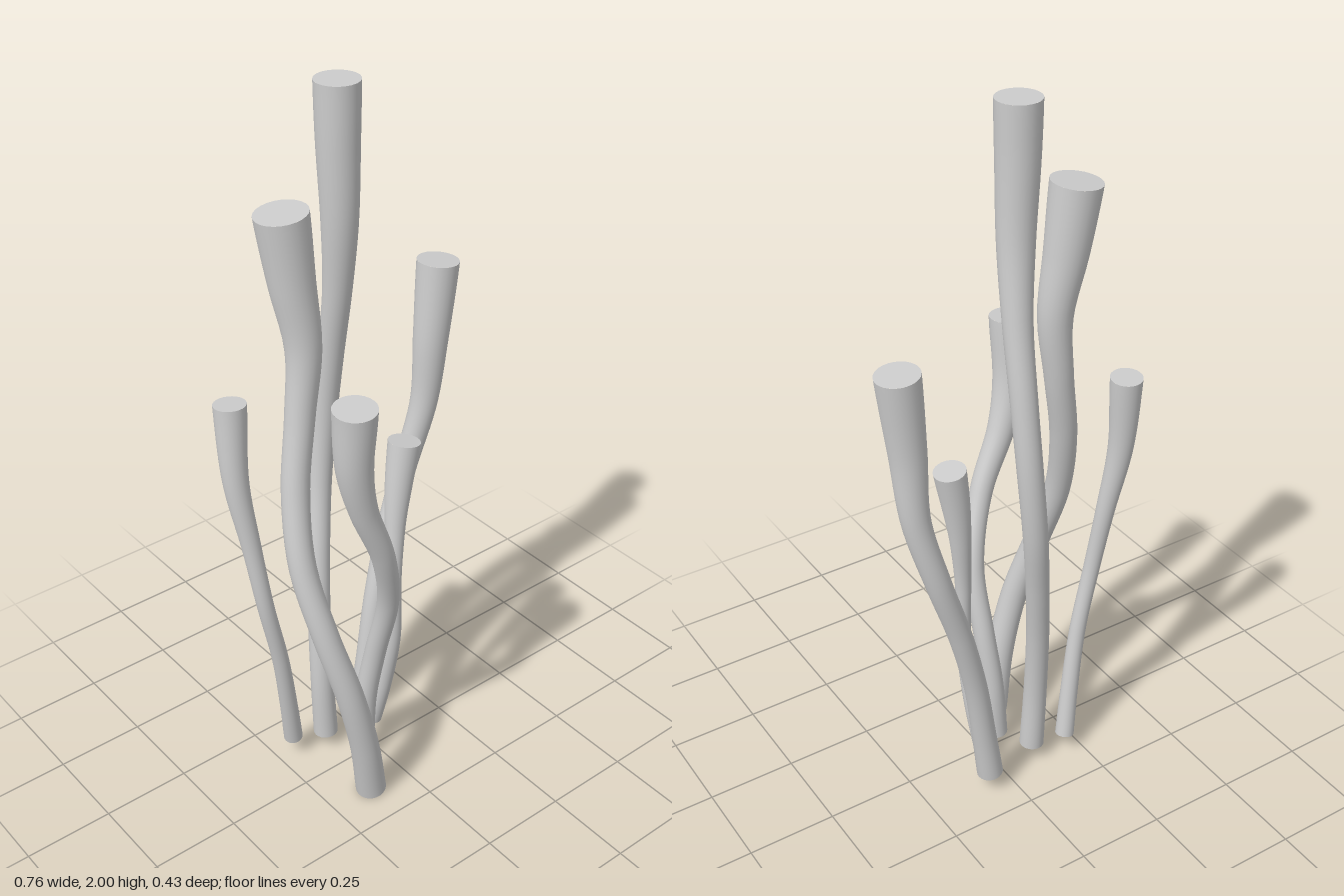
import * as THREE from 'three';

const SIDES = 24, STEPS = 48;
const material = new THREE.MeshStandardMaterial({ color: 0xcccccc });

// Each stalk runs from foot to tip: [x, y, z, radius]
const stalks = {
  tallStalk: [
    [-0.105, 0.05, -0.095, 0.035], [-0.11, 0.25, -0.1, 0.033], [-0.1, 0.45, -0.12, 0.032],
    [-0.075, 0.65, -0.15, 0.032], [-0.045, 0.85, -0.178, 0.033], [-0.025, 1.05, -0.178, 0.034],
    [-0.018, 1.25, -0.155, 0.035], [-0.02, 1.45, -0.12, 0.038], [-0.029, 1.65, -0.095, 0.047],
    [-0.035, 1.85, -0.09, 0.054], [-0.035, 2.0, -0.09, 0.057]],
  thickStalk: [
    [-0.12, 0.008, 0.133, 0.043], [-0.155, 0.2, 0.148, 0.04], [-0.2, 0.4, 0.142, 0.038],
    [-0.245, 0.6, 0.1, 0.036], [-0.268, 0.8, 0.04, 0.036], [-0.25, 1.0, -0.005, 0.037],
    [-0.215, 1.2, -0.025, 0.039], [-0.195, 1.38, -0.03, 0.046], [-0.215, 1.56, -0.042, 0.058],
    [-0.235, 1.74, -0.048, 0.067]],
  frontStalk: [
    [-0.05, 0.04, 0.008, 0.033], [-0.04, 0.22, 0.012, 0.031], [-0.027, 0.4, 0.04, 0.03],
    [-0.027, 0.6, 0.092, 0.03], [-0.08, 0.8, 0.135, 0.032], [-0.15, 0.98, 0.142, 0.038],
    [-0.183, 1.12, 0.15, 0.048], [-0.19, 1.3, 0.163, 0.057]],
  leftStalk: [
    [0.065, 0.055, -0.135, 0.037], [0.085, 0.2, -0.136, 0.034], [0.118, 0.4, -0.143, 0.032],
    [0.17, 0.6, -0.153, 0.032], [0.235, 0.8, -0.155, 0.034], [0.285, 1.0, -0.137, 0.038],
    [0.298, 1.2, -0.128, 0.048], [0.32, 1.42, -0.13, 0.057]],
  shortStalk: [
    [0.03, 0.06, -0.045, 0.027], [0.045, 0.22, -0.01, 0.024], [0.05, 0.4, 0.022, 0.022],
    [0.052, 0.6, 0.02, 0.022], [0.068, 0.77, 0.006, 0.029], [0.083, 0.88, 0, 0.037],
    [0.105, 1.01, -0.004, 0.044]],
  rightStalk: [
    [-0.2, 0.06, -0.125, 0.027], [-0.222, 0.2, -0.11, 0.025], [-0.255, 0.4, -0.095, 0.023],
    [-0.295, 0.6, -0.095, 0.023], [-0.318, 0.8, -0.115, 0.026], [-0.34, 1.0, -0.137, 0.034],
    [-0.335, 1.22, -0.153, 0.043]]
};

function makeStalk(name, rows) {
  const stalk = new THREE.Group();
  stalk.name = name;
  const curve = new THREE.CatmullRomCurve3(rows.map(([x, y, z]) => new THREE.Vector3(x, y, z)));
  const radii = new THREE.SplineCurve(rows.map((r, i) => new THREE.Vector2(i, r[3])));
  const radiusAt = u => radii.getPoint(curve.getUtoTmapping(u)).y;

  // Unit tube whose rings are scaled about the centre line
  const tube = new THREE.TubeGeometry(curve, STEPS, 1, SIDES, false);
  const pos = tube.attributes.position, v = new THREE.Vector3();
  for (let i = 0; i <= STEPS; i++) {
    const centre = curve.getPointAt(i / STEPS), radius = radiusAt(i / STEPS);
    for (let j = 0; j <= SIDES; j++) {
      const k = i * (SIDES + 1) + j;
      v.fromBufferAttribute(pos, k).sub(centre).multiplyScalar(radius).add(centre);
      pos.setXYZ(k, v.x, v.y, v.z);
    }
  }
  const stem = new THREE.Mesh(tube, material);
  stem.name = 'stem';
  stalk.add(stem);

  // Flat discs closing the foot and the tip
  for (const [label, u, sign] of [['footCap', 0, -1], ['tipCap', 1, 1]]) {
    const cap = new THREE.Mesh(new THREE.CircleGeometry(radiusAt(u), SIDES), material);
    cap.name = label;
    cap.position.copy(curve.getPointAt(u));
    cap.quaternion.setFromUnitVectors(new THREE.Vector3(0, 0, 1), curve.getTangentAt(u).multiplyScalar(sign));
    stalk.add(cap);
  }
  return stalk;
}

export function createModel() {
  const model = new THREE.Group();
  model.name = 'stalkCluster';
  for (const [name, rows] of Object.entries(stalks)) model.add(makeStalk(name, rows));
  return model;
}
